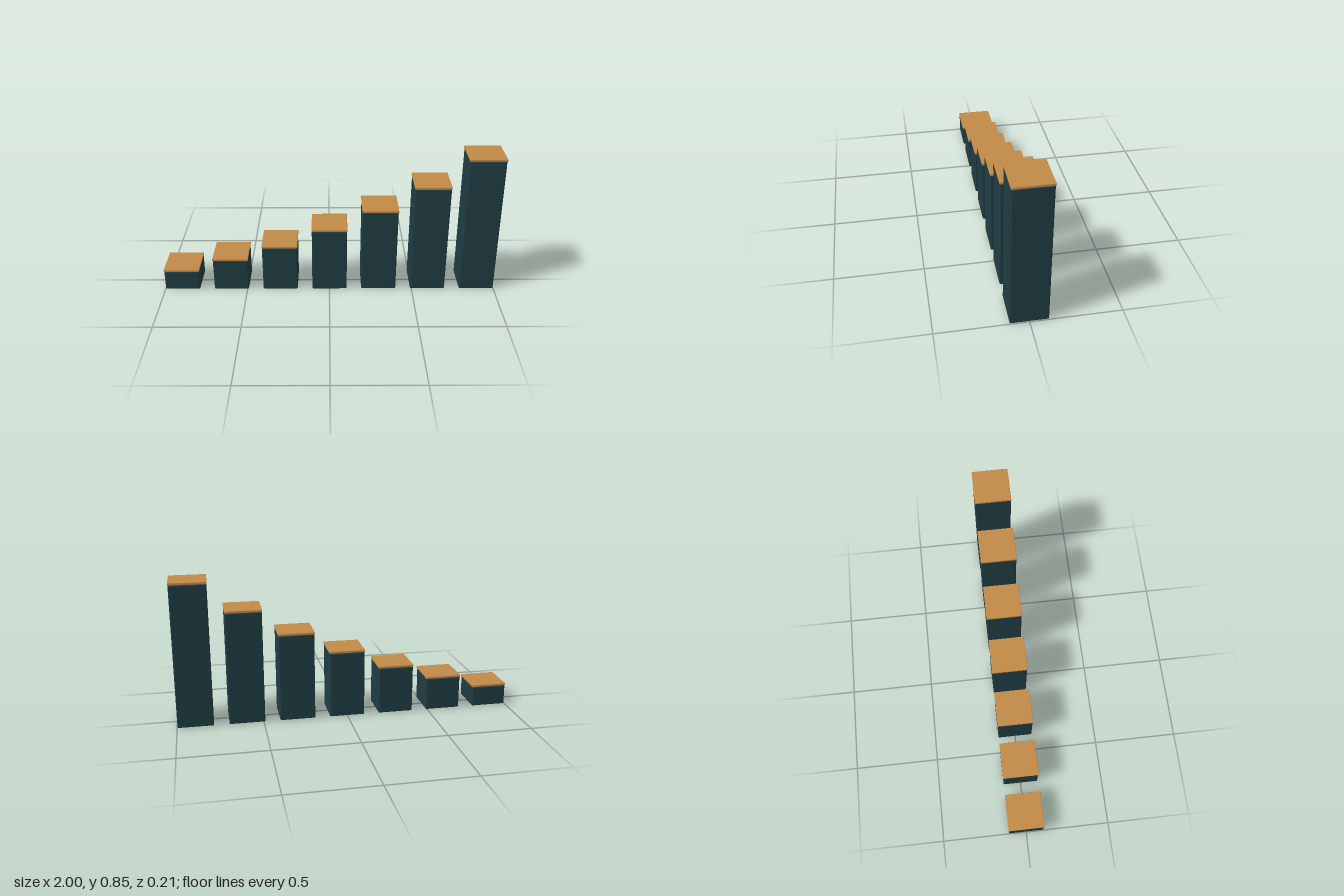
import * as THREE from 'three';
import { RoundedBoxGeometry } from 'three/addons/geometries/RoundedBoxGeometry.js';

const TOPS = [0.136, 0.211, 0.297, 0.408, 0.532, 0.681, 0.854]; // column heights, right to left
const CAP_WIDTH = 0.213, CAP_HEIGHT = 0.0145, BODY_WIDTH = 0.209;

export function createModel() {
  const model = new THREE.Group();
  model.name = 'steppedColumns';
  const bodyMaterial = new THREE.MeshStandardMaterial({ color: 0x1e3c42 });
  const capMaterial = new THREE.MeshStandardMaterial({ color: 0xc08a48 });
  const spacing = (2 - CAP_WIDTH) / (TOPS.length - 1);

  TOPS.forEach((top, i) => {
    const column = new THREE.Group();
    column.name = `column${i + 1}`;
    column.position.x = -1 + CAP_WIDTH / 2 + i * spacing;

    // Softly rounded pillar standing on the ground
    const height = top - CAP_HEIGHT;
    const body = new THREE.Mesh(new RoundedBoxGeometry(BODY_WIDTH, height, BODY_WIDTH, 3, 0.007), bodyMaterial);
    body.name = 'columnBody';
    body.position.y = height / 2;

    // Thin slab, slightly wider than the pillar
    const cap = new THREE.Mesh(new RoundedBoxGeometry(CAP_WIDTH, CAP_HEIGHT, CAP_WIDTH, 3, 0.003), capMaterial);
    cap.name = 'columnCap';
    cap.position.y = top - CAP_HEIGHT / 2;

    column.add(body, cap);
    model.add(column);
  });
  return model;
}
